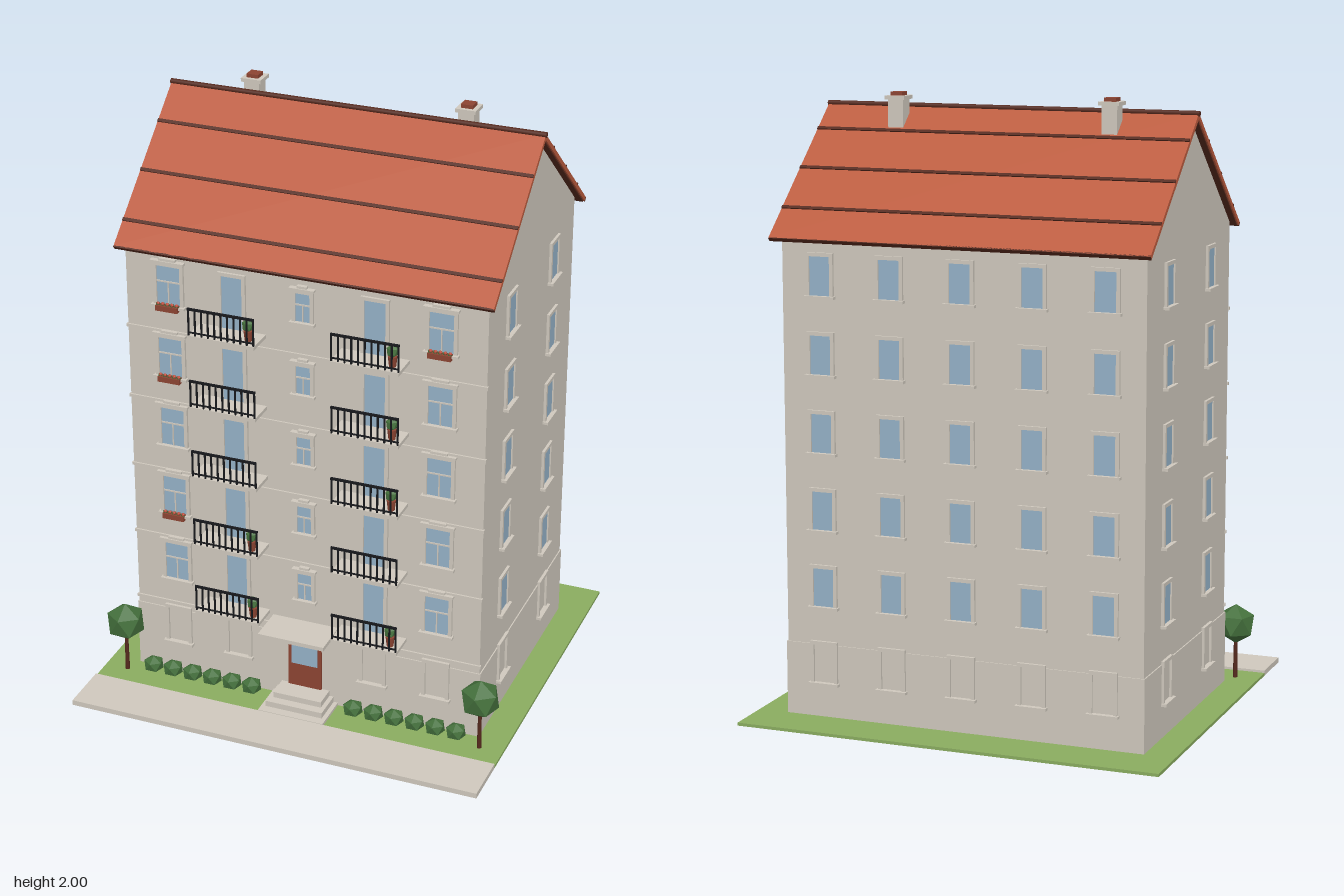
import * as THREE from 'three';

const mat = (name, color) => {
  const m = new THREE.MeshStandardMaterial({ color });
  m.name = name;
  return m;
};

export function createModel() {
  const root = new THREE.Group();
  root.name = 'apartmentHouse';
  const plaster = mat('plaster', 0xcfc8bd), tile = mat('roofTile', 0xbc5c3f), brown = mat('darkBrown', 0x55291d);
  const glass = mat('glass', 0x94b1c7), lawnGreen = mat('lawnGreen', 0x8aac60), brick = mat('brickRed', 0x8c4432);
  const iron = mat('blackIron', 0x17181c), leaf = mat('leafGreen', 0x44703c), flowerRed = mat('flowerRed', 0xc4513f);
  leaf.flatShading = true;

  const add = (parent, name, geo, material, x = 0, y = 0, z = 0) => {
    const m = new THREE.Mesh(geo, material);
    m.name = name;
    m.position.set(x, y, z);
    parent.add(m);
    return m;
  };
  const box = (parent, name, material, w, h, d, x, y, z) =>
    add(parent, name, new THREE.BoxGeometry(w, h, d), material, x, y, z);
  const group = (name, x = 0, y = 0, z = 0, ry = 0) => {
    const g = new THREE.Group();
    g.name = name;
    g.position.set(x, y, z);
    g.rotation.y = ry;
    root.add(g);
    return g;
  };
  // faceted ball of leaves with one corner pointing up
  const ball = new THREE.IcosahedronGeometry(1, 0).rotateZ(Math.atan(2 / (1 + Math.sqrt(5)))).rotateY(Math.PI / 2);
  const leaves = (parent, name, r, x, y, z, sy = 1) => {
    const m = add(parent, name, ball, leaf, x, y, z);
    m.scale.set(r, r * sy, r);
  };

  const HW = 0.605, ZF = 0.345, ZB = -0.5, RZ = -0.083, RY = 1.955;
  const STEP = 0.2515, floors = [0, 1, 2, 3, 4];

  // ground
  box(root, 'lawn', lawnGreen, 1.42, 0.01, 1.15, 0, 0.005, -0.09);
  box(root, 'pavement', plaster, 1.42, 0.018, 0.175, 0, 0.009, 0.5725);

  // walls with gables
  const s = new THREE.Shape();
  [[-ZF, 0], [-ZB, 0], [-ZB, 1.59], [-RZ, 1.935], [-ZF, 1.585]].forEach(([a, b], i) => (i ? s.lineTo(a, b) : s.moveTo(a, b)));
  const wallGeo = new THREE.ExtrudeGeometry(s, { depth: 2 * HW, bevelEnabled: false });
  wallGeo.translate(0, 0, -HW).rotateY(Math.PI / 2);
  add(root, 'walls', wallGeo, plaster);
  box(root, 'plinth', plaster, 2 * HW + 0.008, 0.25, ZF - ZB + 0.008, 0, 0.125, (ZF + ZB) / 2);

  // string courses along the front
  for (const f of floors) box(root, 'stringCourse', plaster, 2 * HW + 0.008, 0.01, 0.01, 0, 0.276 + f * STEP, ZF + 0.001);

  // roof slopes with dark course lines
  const slope = (name, ze, lines) => {
    const dz = ze - RZ, dy = 1.565 - RY, len = Math.hypot(dz, dy);
    const g = group(name, 0, RY, RZ);
    g.rotation.x = dz > 0 ? Math.atan2(-dy, dz) : -Math.atan2(-dy, -dz);
    const dir = Math.sign(dz);
    box(g, 'roofTiles', tile, 1.26, 0.014, len, 0, -0.007, dir * len / 2);
    box(g, 'roofUnderside', brown, 1.25, 0.006, len - 0.01, 0, -0.016, dir * len / 2);
    for (const z of lines) box(g, 'tileCourse', brown, 1.26, 0.006, 0.011, 0, 0.001, (z - RZ) * len / Math.abs(dz));
    box(g, 'eaveEdge', brown, 1.26, 0.014, 0.006, 0, -0.007, dir * len);
  };
  slope('frontRoof', 0.378, [0.03, 0.167, 0.305]);
  slope('backRoof', -0.545, [-0.175, -0.31, -0.445]);
  const ridge = add(root, 'ridgeCap', new THREE.CylinderGeometry(0.009, 0.009, 1.266, 10), brown, 0, RY - 0.002, RZ);
  ridge.rotation.z = Math.PI / 2;

  // chimneys
  for (const x of [-0.364, 0.36]) {
    const c = group('chimney', x, 0, -0.138);
    box(c, 'chimneyShaft', plaster, 0.052, 0.15, 0.052, 0, 1.905, 0);
    box(c, 'chimneyCap', plaster, 0.068, 0.012, 0.068, 0, 1.982, 0);
    box(c, 'chimneyPot', brick, 0.04, 0.014, 0.04, 0, 1.993, 0);
  }

  // one window: y is the bottom of the glass; its own front is +z
  const frame = 0.012;
  const makeWindow = (x, y, z, ry, w, h, { pane = true, bars = false, hood = false, sill = true } = {}) => {
    const g = group('window', x, y, z, ry);
    if (pane) box(g, 'glassPane', glass, w, h, 0.004, 0, h / 2, 0.002);
    for (const k of [-1, 1]) box(g, 'frameSide', plaster, frame, h + frame, 0.01, k * (w + frame) / 2, (h + frame) / 2, 0.004);
    box(g, 'frameTop', plaster, w, frame, 0.01, 0, h + frame / 2, 0.004);
    if (sill) box(g, 'sill', plaster, w + 0.035, 0.009, 0.022, 0, -0.004, 0.008);
    if (bars) {
      box(g, 'transom', plaster, w, 0.005, 0.006, 0, h * 0.6, 0.004);
      box(g, 'mullion', plaster, 0.004, h * 0.6, 0.006, 0, h * 0.3, 0.004);
    }
    if (hood) {
      box(g, 'hood', plaster, w + 0.035, 0.008, 0.02, 0, h + 0.016, 0.008);
      box(g, 'hoodCrest', plaster, w * 0.7, 0.008, 0.016, 0, h + 0.024, 0.006);
    }
  };

  // balcony with front railing
  const makeBalcony = (x, y, plant) => {
    const g = group('balcony', x, y, ZF);
    const w = 0.226, zr = 0.092;
    box(g, 'slab', plaster, w, 0.012, 0.097, 0, -0.006, 0.0485);
    box(g, 'topRail', iron, w, 0.007, 0.007, 0, 0.09, zr);
    box(g, 'bottomRail', iron, w, 0.004, 0.005, 0, 0.01, zr);
    for (let i = 0; i < 11; i++) box(g, 'baluster', iron, 0.005, 0.09, 0.005, (i / 10 - 0.5) * (w - 0.006), 0.045, zr);
    if (plant) {
      add(g, 'plantPot', new THREE.CylinderGeometry(0.015, 0.011, 0.035, 10), brick, 0.079, 0.0175, 0.06);
      leaves(g, 'pottedPlant', 0.021, 0.079, 0.053, 0.06, 1.1);
    }
  };

  // front: outer windows, balcony doors, stair windows
  const plants = { '-1': [0, 1, 4], 1: [0, 2, 3, 4] }, flowers = { '-1': [1, 3, 4], 1: [4] };
  for (const f of floors) {
    const y = 0.372 + f * STEP;
    makeWindow(0, y + 0.021, ZF, 0, 0.048, 0.097, { bars: true, hood: true });
    for (const k of [-1, 1]) {
      makeWindow(k * 0.457, y, ZF, 0, 0.08, 0.133, { bars: true, hood: true });
      makeWindow(k * 0.24, y - 0.047, ZF, 0, 0.07, 0.18, { sill: false });
      makeBalcony(k * 0.24, y - 0.047, plants[k].includes(f));
      if (flowers[k].includes(f)) {
        const b = group('flowerBox', k * 0.457, y - 0.006, ZF + 0.018);
        box(b, 'planter', brick, 0.076, 0.018, 0.022, 0, 0, 0);
        for (let i = 0; i < 5; i++) {
          const fx = (i - 2) * 0.016;
          leaves(b, 'flowerLeaves', 0.008, fx, 0.011, 0);
          add(b, 'flower', new THREE.IcosahedronGeometry(0.006, 0), flowerRed, fx + 0.003, 0.016, 0.005);
        }
      }
    }
  }

  // back and side windows; the ground floor ones are blind
  for (const f of [-1, ...floors]) {
    const y = 0.376 + f * STEP, pane = f >= 0, out = pane ? 0 : 0.003;
    for (const x of [-0.475, -0.238, 0, 0.238, 0.475]) makeWindow(x, y, ZB - out, Math.PI, 0.07, 0.125, { pane });
    for (const k of [-1, 1])
      for (const z of [0.133, -0.29]) makeWindow(k * (HW + out), y, z, k * Math.PI / 2, 0.066, 0.125, { pane });
  }
  for (const x of [-0.457, -0.238, 0.238, 0.457]) makeWindow(x, 0.13, ZF + 0.003, 0, 0.07, 0.125, { pane: false });

  // entrance
  const e = group('entrance', 0, 0, ZF);
  box(e, 'door', brick, 0.116, 0.205, 0.012, 0, 0.1625, 0.006);
  box(e, 'doorGlass', glass, 0.092, 0.108, 0.004, 0, 0.2, 0.013);
  box(e, 'canopy', plaster, 0.23, 0.014, 0.13, 0, 0.302, 0.065);
  [[0.23, 0.14], [0.2, 0.11], [0.17, 0.08]].forEach(([w, d], i) =>
    box(e, 'step', plaster, w, 0.02 * (i + 1), d, 0, 0.01 * (i + 1), d / 2));

  // hedge bushes and trees
  for (const k of [-1, 1]) {
    for (let i = 0; i < 6; i++) leaves(root, 'bush', 0.036, k * (0.182 + i * 0.072), 0.036, 0.383, 0.85);
    const t = group('tree', k * 0.63, 0, 0.405);
    add(t, 'trunk', new THREE.CylinderGeometry(0.006, 0.008, 0.16, 8), brown, 0, 0.08, 0);
    leaves(t, 'crown', 0.068, 0, 0.197, 0);
  }
  return root;
}
